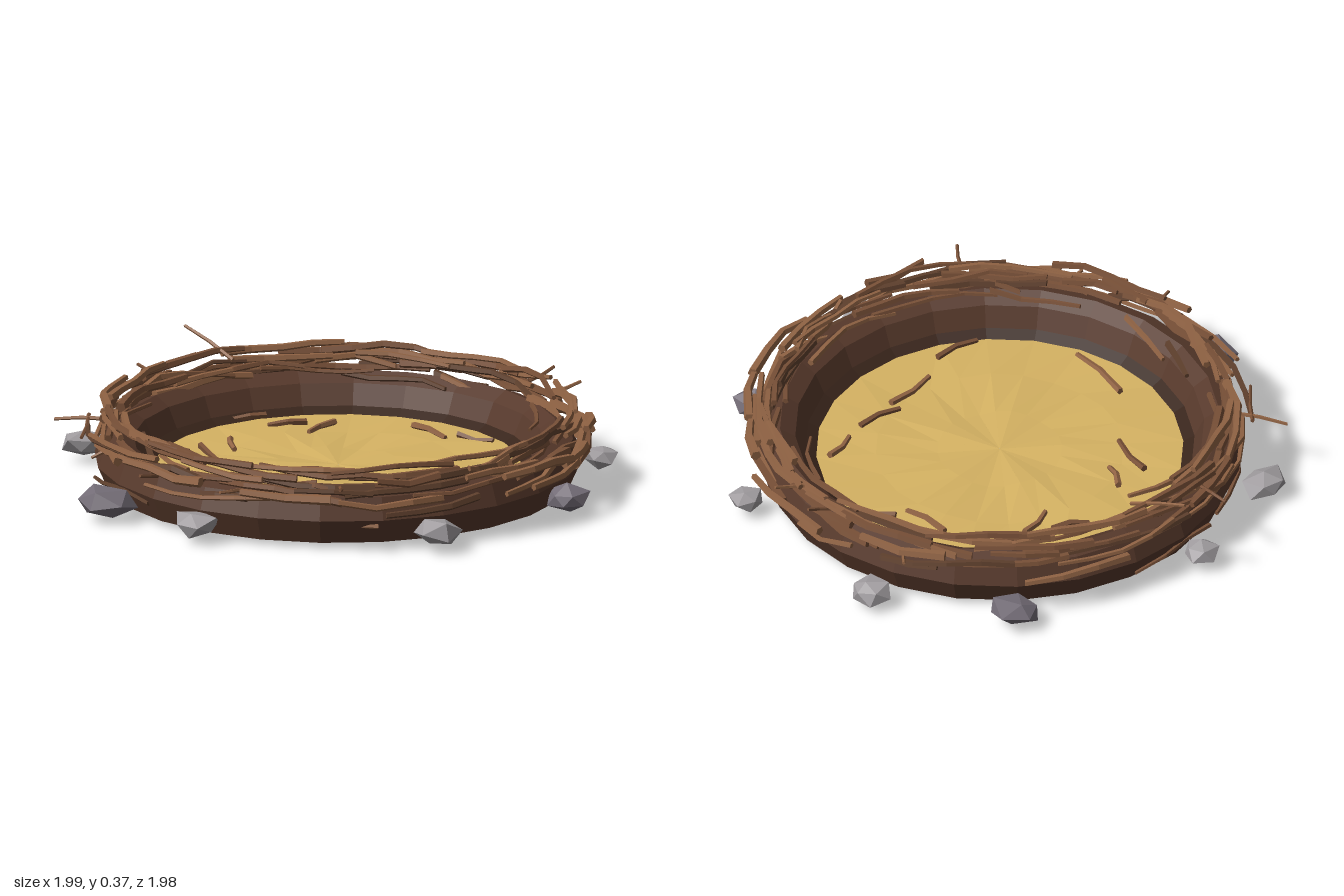
import * as THREE from 'three';

const CX = 0.005, CZ = 0.025;

// Small seeded generator
let seed = 11;
const rnd = () => (seed = (seed * 16807) % 2147483647) / 2147483647;
const range = (a, b) => a + (b - a) * rnd();

const paint = (name, color, doubleSided = false) => {
  const m = new THREE.MeshStandardMaterial({ color });
  m.name = name;
  m.flatShading = true;
  if (doubleSided) m.side = THREE.DoubleSide;
  return m;
};

function reshape(geometry, rule) {
  const p = geometry.attributes.position, v = new THREE.Vector3();
  for (let i = 0; i < p.count; i++) {
    rule(v.fromBufferAttribute(p, i));
    p.setXYZ(i, v.x, v.y, v.z);
  }
  geometry.computeVertexNormals();
  return geometry;
}

// Stick bent round the nest: starts at angle a, height y and radius r
function arcStick({ a, span, r, dr = 0, y, dy = 0, thick, bow = 0 }) {
  const rows = Math.max(2, Math.round(span / 0.15));
  const phase = range(0, 6), wob = range(0.004, 0.012);
  const g = new THREE.CylinderGeometry(thick * 0.7, thick, 1, 5, rows);
  return reshape(g, (v) => {
    const t = v.y + 0.5, ang = a + t * span;
    const rad = r + dr * t + wob * Math.sin(phase + t * 7) + v.x;
    const h = y + dy * t + bow * Math.sin(Math.PI * t) + wob * Math.cos(phase + t * 6) - v.z;
    v.set(CX + Math.cos(ang) * rad, h, CZ + Math.sin(ang) * rad);
  });
}

// Short twig between two points, kinked in the middle
function twig(from, to, thick, kink = 0) {
  const a = new THREE.Vector3(...from), b = new THREE.Vector3(...to);
  const dir = b.clone().sub(a), len = dir.length();
  const g = new THREE.CylinderGeometry(thick * 0.75, thick, len, 5, 2);
  reshape(g, (v) => { v.x += kink * (1 - Math.abs(v.y) / (len / 2)); });
  g.applyQuaternion(new THREE.Quaternion().setFromUnitVectors(new THREE.Vector3(0, 1, 0), dir.normalize()));
  return g.translate((a.x + b.x) / 2, (a.y + b.y) / 2, (a.z + b.z) / 2);
}

// Irregular pebble made from a squashed icosahedron
function rock(x, z, w, h, d, n) {
  const g = new THREE.IcosahedronGeometry(1, 0);
  g.rotateX(n * 1.3).rotateY(n * 2.1);
  reshape(g, (v) => {
    const s = Math.sin(Math.round(v.x * 50) * 1.7 + Math.round(v.y * 50) * 2.9 + Math.round(v.z * 50) * 4.3 + n);
    v.multiplyScalar(1 + 0.18 * s);
    v.set(x + v.x * w / 2, v.y * h / 2, z + v.z * d / 2);
  });
  g.computeBoundingBox();
  return g.translate(0, 0.02 - g.boundingBox.min.y, 0);
}

export function createModel() {
  seed = 11;
  const nest = new THREE.Group();
  nest.name = 'nest';
  const mud = paint('mud brown', 0x57392b, true);
  const darkMud = paint('dark mud', 0x38241a, true);
  const straw = paint('straw', 0xd6b363, true);
  const barks = [paint('light bark', 0x8f6243), paint('bark', 0x785037), paint('dark bark', 0x5f402d)];
  const stone = paint('stone', 0xa09c9f);
  const darkStone = paint('dark stone', 0x746d77);

  const add = (name, geometry, material, parent = nest) => {
    const m = new THREE.Mesh(geometry, material);
    m.name = name;
    parent.add(m);
  };
  const group = (name) => {
    const g = new THREE.Group();
    g.name = name;
    nest.add(g);
    return g;
  };
  const lathe = (pts) => {
    const g = new THREE.LatheGeometry(pts.map(([r, y]) => new THREE.Vector2(r, y)), 24);
    return g.translate(CX, 0, CZ);
  };

  // Mud wall: underside, outer side, rim and inner slope
  add('mudWall', lathe([[0.69, 0.02], [0.835, 0.02], [0.875, 0.11], [0.845, 0.19], [0.79, 0.21], [0.735, 0.175], [0.7, 0.1]]), mud);
  add('innerFoot', lathe([[0.665, 0.076], [0.69, 0.02]]), mud);
  add('innerLedge', lathe([[0.7, 0.1], [0.66, 0.079]]), darkMud);

  // Straw bed with faint radial folds
  const bed = new THREE.RingGeometry(0.001, 0.668, 24, 3).rotateX(-Math.PI / 2);
  reshape(bed, (v) => {
    const d = Math.hypot(v.x, v.z) / 0.668, th = Math.atan2(v.z, v.x);
    v.y = 0.078 + 0.03 * d * (1 - d) * Math.sin(th * 5 + d * 4);
  });
  add('strawBed', bed.translate(CX, 0, CZ), straw);

  // Woven sticks in bands: count, radius, height and thickness
  const weave = group('wovenSticks');
  const bands = [
    { n: 32, r: [0.85, 0.9], y: [0.15, 0.22], th: [0.01, 0.019] },
    { n: 34, r: [0.79, 0.89], y: [0.2, 0.26], th: [0.01, 0.02] },
    { n: 28, r: [0.78, 0.88], y: [0.25, 0.285], th: [0.011, 0.02] },
    { n: 12, r: [0.75, 0.78], y: [0.2, 0.24], th: [0.009, 0.014] },
    { n: 9, r: [0.85, 0.87], y: [0.06, 0.12], th: [0.009, 0.013] },
  ];
  for (const b of bands) {
    for (let i = 0; i < b.n; i++) {
      const span = range(0.25, 0.62);
      add('wovenStick', arcStick({
        a: ((i + range(-0.4, 0.4)) / b.n) * Math.PI * 2, span,
        r: range(...b.r), dr: range(-0.07, 0.055),
        y: range(...b.y), dy: range(-0.035, 0.03), bow: range(-0.012, 0.014),
        thick: range(...b.th),
      }), barks[Math.floor(rnd() * 2.4)], weave);
    }
  }
  // Top strands close the wreath
  for (let i = 0; i < 14; i++) {
    add('topStick', arcStick({
      a: i / 14 * Math.PI * 2, span: 0.55, r: range(0.8, 0.85), dr: range(-0.03, 0.03),
      y: range(0.275, 0.288), dy: range(-0.012, 0.012), bow: 0.01, thick: range(0.012, 0.018),
    }), barks[i % 2], weave);
  }
  // Thick outer sticks: angle, span, radius, radius change, height
  [
    [-0.42, 0.33, 0.9, 0.035, 0.2], [-0.15, 0.4, 0.93, -0.02, 0.22], [1.0, 0.36, 0.91, 0.005, 0.2],
    [-1.8, 0.36, 0.9, 0.01, 0.24], [-0.72, 0.22, 0.91, -0.01, 0.23], [1.55, 0.4, 0.89, 0.02, 0.22],
  ].forEach(([a, span, r, dr, y]) =>
    add('outerStick', arcStick({ a, span, r, dr, y, dy: 0.01, thick: 0.02 }), barks[0], weave));
  // Low sticks that touch the ground
  for (const a of [2.3, 1.9, 0.8, -0.6, -1.2, -2.4, 3.3]) {
    add('lowStick', arcStick({ a, span: 0.16, r: 0.77, dr: 0.03, y: 0.021, dy: 0.008, thick: 0.011 }), barks[2], weave);
  }

  // Loose twigs sticking out of the rim
  const loose = group('looseTwigs');
  [
    [[-0.68, 0.28, -0.31], [-0.91, 0.365, -0.34]], [[-0.84, 0.24, -0.06], [-0.97, 0.26, -0.13]],
    [[-0.73, 0.22, 0.41], [-0.93, 0.2, 0.46]], [[-0.82, 0.22, 0.4], [-0.71, 0.2, 0.61]],
    [[-0.04, 0.22, -0.84], [-0.08, 0.24, -0.94]], [[0.29, 0.25, -0.77], [0.34, 0.29, -0.86]],
    [[0.44, 0.25, -0.69], [0.51, 0.28, -0.78]], [[-0.2, 0.2, 0.87], [-0.21, 0.22, 0.97]],
    [[0.15, 0.2, 0.86], [0.13, 0.21, 0.96]], [[0.51, 0.24, 0.75], [0.57, 0.26, 0.84]],
    [[-0.54, 0.2, 0.65], [-0.59, 0.17, 0.72]],
  ].forEach(([f, t], i) => add('looseTwig', twig(f, t, 0.008, 0.006), barks[i % 2], loose));

  // Short twigs lying on the bed: x, z to x, z
  const litter = group('bedTwigs');
  [
    [-0.30, -0.40, -0.31, -0.25], [-0.38, -0.34, -0.48, -0.24], [-0.04, -0.52, 0.14, -0.46],
    [0.16, -0.51, 0.30, -0.53], [0.53, -0.29, 0.52, -0.15], [0.51, -0.08, 0.43, 0.08],
    [0.47, 0.09, 0.42, 0.30], [0.44, 0.41, 0.36, 0.57], [-0.24, 0.51, 0, 0.65],
    [-0.52, 0.13, -0.36, 0.25], [-0.48, 0, -0.40, 0.09], [-0.55, -0.33, -0.63, -0.23],
  ].forEach(([x1, z1, x2, z2], i) =>
    add('bedTwig', twig([x1, 0.09, z1], [x2, 0.084, z2], 0.013, i % 2 ? 0.012 : -0.012), barks[i % 2], litter));

  // Stones around the foot: x, z, width, height, depth, dark
  const stones = group('stones');
  [
    [0.06, -0.925, 0.16, 0.095, 0.13, 0], [-0.455, -0.8, 0.21, 0.105, 0.18, 1],
    [0.70, -0.63, 0.13, 0.085, 0.12, 0], [0.925, -0.095, 0.16, 0.1, 0.16, 1],
    [0.78, 0.53, 0.17, 0.11, 0.17, 0], [0, 0.92, 0.17, 0.1, 0.15, 0],
    [-0.43, 0.875, 0.23, 0.11, 0.19, 1], [-0.93, 0.27, 0.16, 0.1, 0.17, 0],
    [-0.9, -0.195, 0.13, 0.085, 0.13, 0],
  ].forEach(([x, z, w, h, d, dark], i) =>
    add('stone', rock(x, z, w, h, d, i + 1), dark ? darkStone : stone, stones));

  return nest;
}
